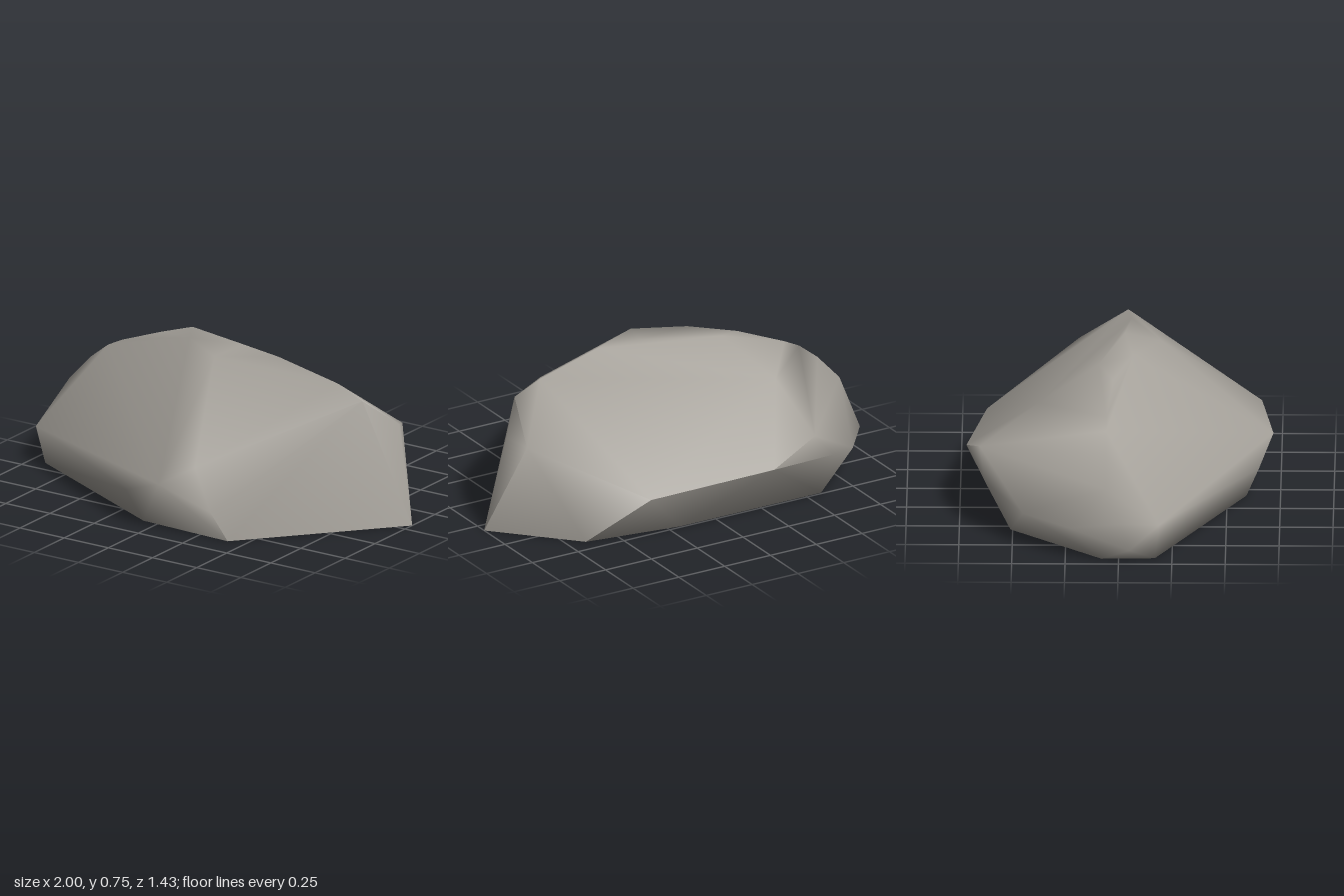
import * as THREE from 'three';
import { ConvexGeometry } from 'three/addons/geometries/ConvexGeometry.js';

// Area-weighted smooth normals: broad facets stay flat, their edges look worn,
// and edges sharper than the crease angle stay hard.
function softenFacets(geometry, crease) {
  const pos = geometry.attributes.position;
  const corner = (i) => new THREE.Vector3().fromBufferAttribute(pos, i);
  const key = (i) => [pos.getX(i), pos.getY(i), pos.getZ(i)].map((n) => n.toFixed(4)).join();
  const faces = [];
  const around = new Map();
  for (let i = 0; i < pos.count; i += 3) {
    const a = corner(i);
    const weighted = corner(i + 1).sub(a).cross(corner(i + 2).sub(a));
    const face = { weighted, unit: weighted.clone().normalize() };
    faces.push(face);
    for (let k = i; k < i + 3; k++) {
      if (!around.has(key(k))) around.set(key(k), []);
      around.get(key(k)).push(face);
    }
  }
  const normals = [];
  for (let i = 0; i < pos.count; i++) {
    const own = faces[Math.floor(i / 3)];
    const sum = new THREE.Vector3();
    for (const f of around.get(key(i))) {
      if (f.unit.dot(own.unit) > Math.cos(crease)) sum.add(f.weighted);
    }
    normals.push(...sum.normalize().toArray());
  }
  geometry.setAttribute('normal', new THREE.Float32BufferAttribute(normals, 3));
  return geometry;
}

export function createModel() {
  const group = new THREE.Group();
  group.name = 'rock';
  const stone = new THREE.MeshStandardMaterial({ color: 0xa6a29b });
  stone.name = 'grey stone';

  // Flat underside
  const base = [
    [1, 0, -0.06], [0.66, 0, -0.42], [0.2, 0.01, -0.51], [-0.57, 0.01, -0.51],
    [-0.93, 0, -0.08], [-0.92, 0, 0.17], [-0.08, 0, 0.59], [0.41, 0, 0.61],
  ];
  // Widest line around the sides
  const girth = [
    [0.43, 0.24, -0.63], [-0.19, 0.29, -0.72], [-0.45, 0.38, -0.655], [-0.57, 0.25, -0.63],
    [-0.78, 0.17, -0.45], [-0.95, 0.16, -0.23], [-1, 0.2, 0.01], [-0.98, 0.06, 0.05],
    [-0.96, 0.18, 0.19], [-0.14, 0.16, 0.65], [0.09, 0.25, 0.715], [0.26, 0.35, 0.66],
    [0.34, 0.14, 0.65],
  ];
  // Ridge and shoulders
  const crown = [
    [-0.94, 0.35, -0.06], [-0.82, 0.48, -0.06], [-0.72, 0.56, -0.06], [-0.64, 0.6, -0.06],
    [-0.4, 0.695, -0.03], [-0.27, 0.725, -0.1], [-0.18, 0.735, 0.06], [0.05, 0.725, 0.19],
    [0.1, 0.745, 0.02], [0.32, 0.735, 0.05], [0.64, 0.66, 0.03], [0.78, 0.6, 0.03],
    [0.9, 0.47, -0.1], [0.85, 0.44, -0.2], [-0.4, 0.58, -0.38],
  ];
  const points = [...base, ...girth, ...crown].map((p) => new THREE.Vector3(...p));

  const boulder = new THREE.Mesh(softenFacets(new ConvexGeometry(points), 1.4), stone);
  boulder.name = 'boulder';
  group.add(boulder);
  return group;
}
